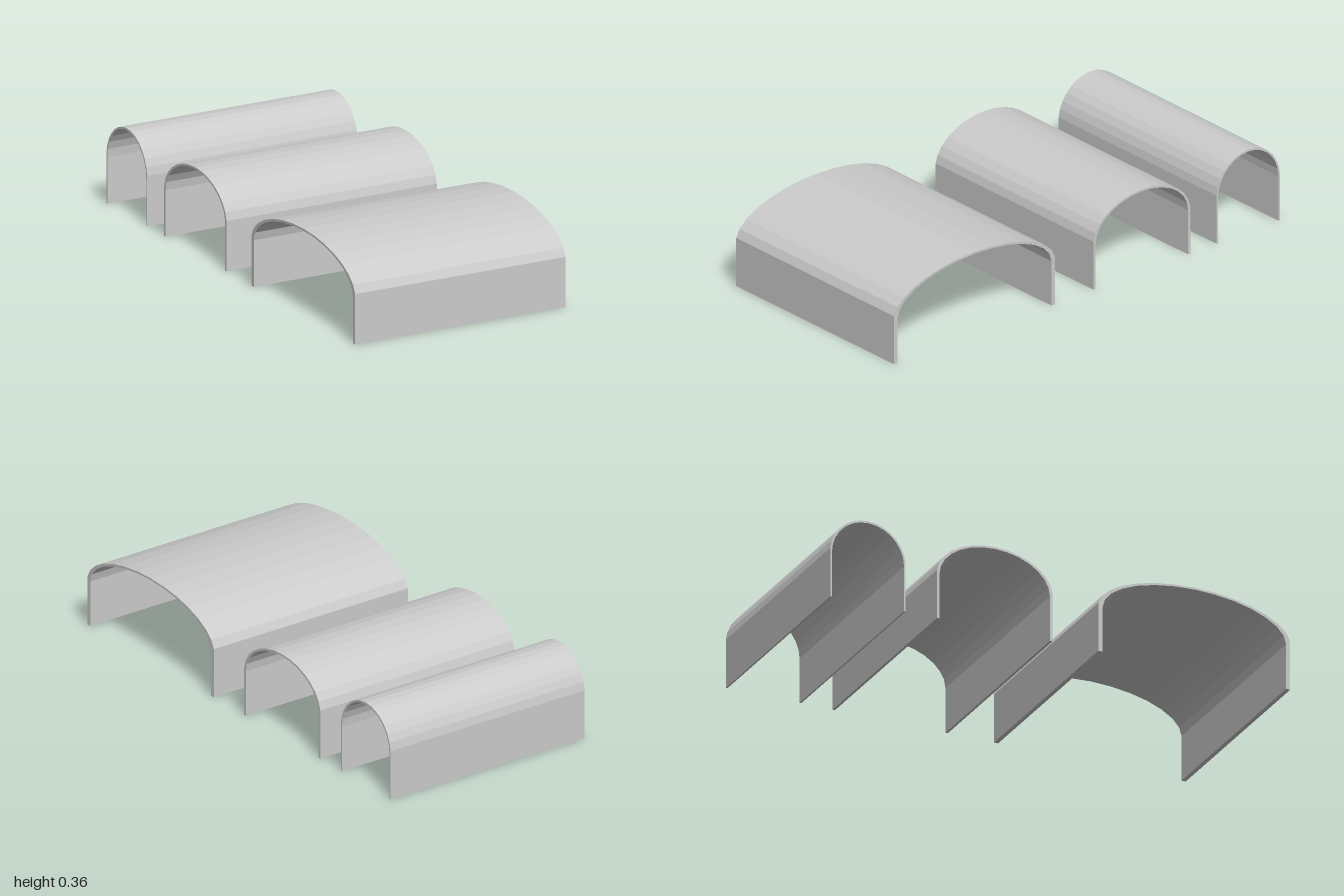
import * as THREE from 'three';

const LENGTH = 0.944;   // along x
const HALF = 0.164;     // half width of the narrowest vault
const HEIGHT = 0.357;
const THICK = 0.008;    // shell thickness before widening
const SEGMENTS = 14;

// Points of a circular arc from right to left, centred on x = 0
function arc(radius, centerY, halfAngle) {
  const points = [];
  for (let i = 0; i <= SEGMENTS; i++) {
    const a = halfAngle * (1 - (2 * i) / SEGMENTS);
    points.push(new THREE.Vector2(radius * Math.sin(a), centerY + radius * Math.cos(a)));
  }
  return points;
}

// Open-ended vault on two straight walls, its section stretched to the given width
function vault(name, zCenter, width, material) {
  const radius = HALF + 0.0005;
  const centerY = HEIGHT - radius;
  const outer = arc(radius, centerY, THREE.MathUtils.degToRad(84.5));
  const inner = arc(radius - THICK, centerY, Math.PI / 2).reverse();
  const ox = outer[0].x, ix = inner[0].x;
  const profile = new THREE.Shape([
    new THREE.Vector2(ox, 0), ...outer, new THREE.Vector2(-ox, 0),
    new THREE.Vector2(ix, 0), ...inner, new THREE.Vector2(-ix, 0),
  ]);
  const geometry = new THREE.ExtrudeGeometry(profile, { depth: LENGTH, bevelEnabled: false });
  geometry.translate(0, 0, -LENGTH / 2);
  geometry.scale(width / (2 * ox), 1, 1);
  geometry.rotateY(Math.PI / 2);
  const mesh = new THREE.Mesh(geometry, material);
  mesh.name = name;
  mesh.position.z = zCenter;
  return mesh;
}

export function createModel() {
  const group = new THREE.Group();
  group.name = 'barrelVaults';
  const material = new THREE.MeshStandardMaterial({ color: 0xcccccc, flatShading: true });
  // Three vaults of equal height, widest at the front
  group.add(
    vault('wideVault', 0.583, 0.834, material),
    vault('mediumVault', -0.285, 0.502, material),
    vault('narrowVault', -0.836, 0.328, material),
  );
  return group;
}
